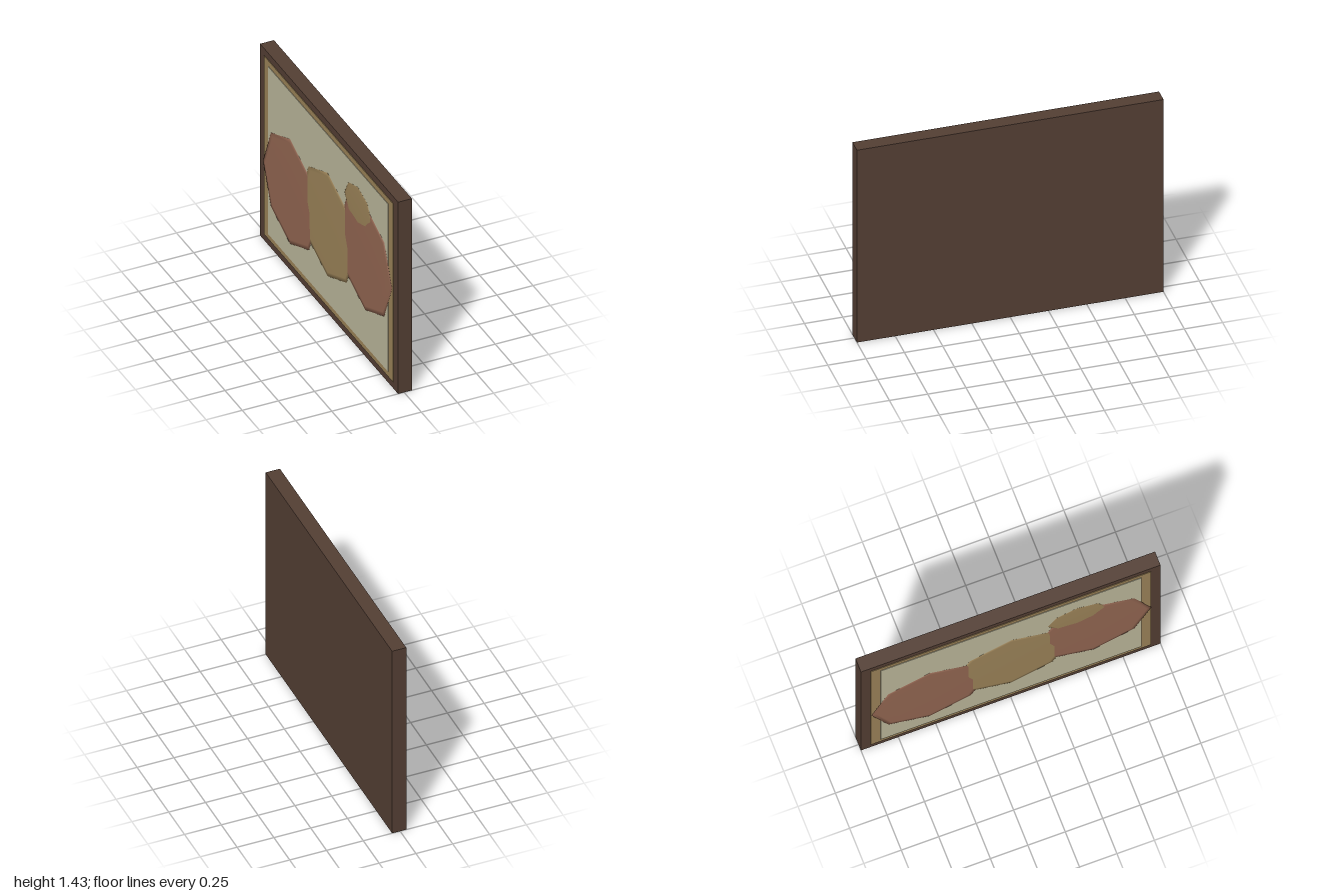
import * as THREE from 'three';

const material = (color) => new THREE.MeshStandardMaterial({ color });

export function createModel() {
  const model = new THREE.Group();
  const brown = material(0x543f34);
  const ochre = material(0x9d8459);
  const cream = material(0xbdb89c);
  const red = material(0x946752);

  // Upright slab between two x positions, centred on z
  function slab(name, x0, x1, y0, y1, width, mat) {
    const mesh = new THREE.Mesh(new THREE.BoxGeometry(x1 - x0, y1 - y0, width), mat);
    mesh.position.set((x0 + x1) / 2, (y0 + y1) / 2, 0);
    mesh.name = name;
    model.add(mesh);
  }

  // Frame board with two thin layers on its -x face
  slab('frame', -0.0415, 0.0545, 0, 1.43, 2, brown);
  slab('innerBorder', -0.0455, -0.04, 0.05, 1.38, 1.87, ochre);
  slab('canvas', -0.0488, -0.04, 0.09, 1.34, 1.74, cream);

  // Eight-sided, very flat domes overlapping across the canvas
  const dome = new THREE.SphereGeometry(1, 8, 8).rotateZ(Math.PI / 2);
  function blob(name, y, z, ry, rz, thickness, mat) {
    const mesh = new THREE.Mesh(dome, mat);
    mesh.scale.set(thickness, ry, rz);
    mesh.position.set(-0.0515, y, z);
    mesh.name = name;
    model.add(mesh);
  }
  blob('paintedShapeBack', 0.6, -0.545, 0.39, 0.39, 0.0023, red);
  blob('paintedShapeMiddle', 0.675, 0, 0.385, 0.39, 0.0023, ochre);
  blob('paintedShapeFront', 0.75, 0.545, 0.39, 0.39, 0.0023, red);
  blob('paintedShapeSmall', 1.067, 0.44, 0.146, 0.195, 0.003, ochre);

  return model;
}
